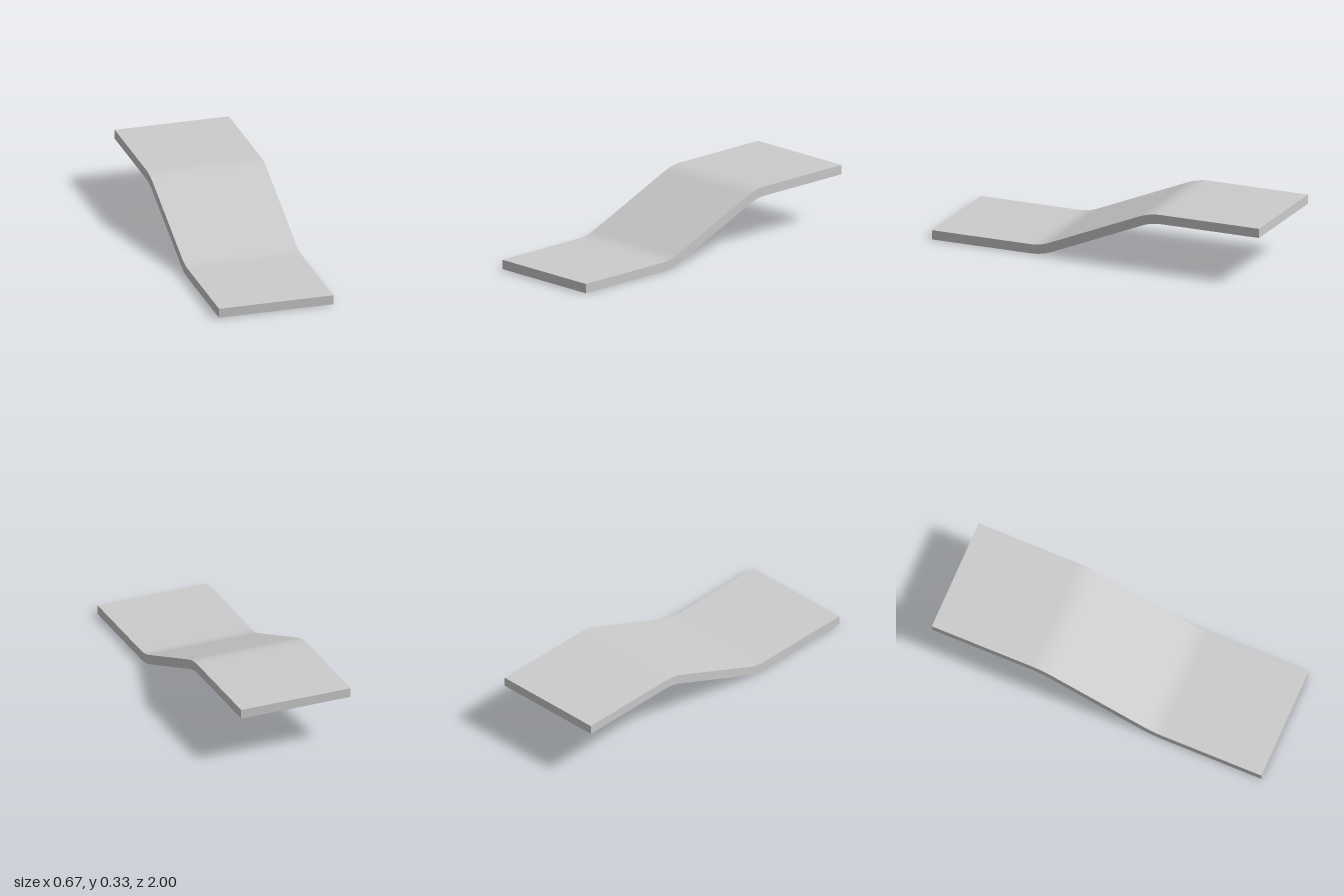
import * as THREE from 'three';
import { toCreasedNormals } from 'three/addons/utils/BufferGeometryUtils.js';

const WIDTH = 0.667;      // along x
const HEIGHT = 0.333;     // total rise
const THICK = 0.054;      // plate thickness
const CORNER_Z = 0.335;   // where the flat and sloped centrelines meet
const TANGENT = 0.065;    // length of each bend either side of its corner

// Side profile (x of the shape = z of the model): flat, bend up, slope, bend back, flat
function plateProfile() {
  const half = THICK / 2;
  const slope = Math.atan2(HEIGHT / 2 - half, CORNER_Z);
  const radius = TANGENT / Math.tan(slope / 2);
  const z = CORNER_Z + TANGENT;
  const lowY = half + radius;
  const highY = HEIGHT - half - radius;
  const q = Math.PI / 2;

  const s = new THREE.Shape();
  s.moveTo(1, 0);
  s.lineTo(1, THICK);
  // upper face, front to back
  s.absarc(z, lowY, radius - half, -q, -q - slope, true);
  s.absarc(-z, highY, radius + half, q - slope, q, false);
  s.lineTo(-1, HEIGHT);
  s.lineTo(-1, HEIGHT - THICK);
  // lower face, back to front
  s.absarc(-z, highY, radius - half, q, q - slope, true);
  s.absarc(z, lowY, radius + half, -q - slope, -q, false);
  s.closePath();
  return s;
}

export function createModel() {
  const group = new THREE.Group();
  group.name = 'offsetPlate';

  // Extrude across the width, then turn the profile to run along z
  const geometry = new THREE.ExtrudeGeometry(plateProfile(), {
    depth: WIDTH, bevelEnabled: false, curveSegments: 6,
  });
  geometry.translate(0, 0, -WIDTH / 2);
  geometry.rotateY(-Math.PI / 2);

  const plate = new THREE.Mesh(
    toCreasedNormals(geometry, 0.5),
    new THREE.MeshStandardMaterial({ color: 0xcccccc }),
  );
  plate.name = 'bentPlate';
  group.add(plate);
  return group;
}
